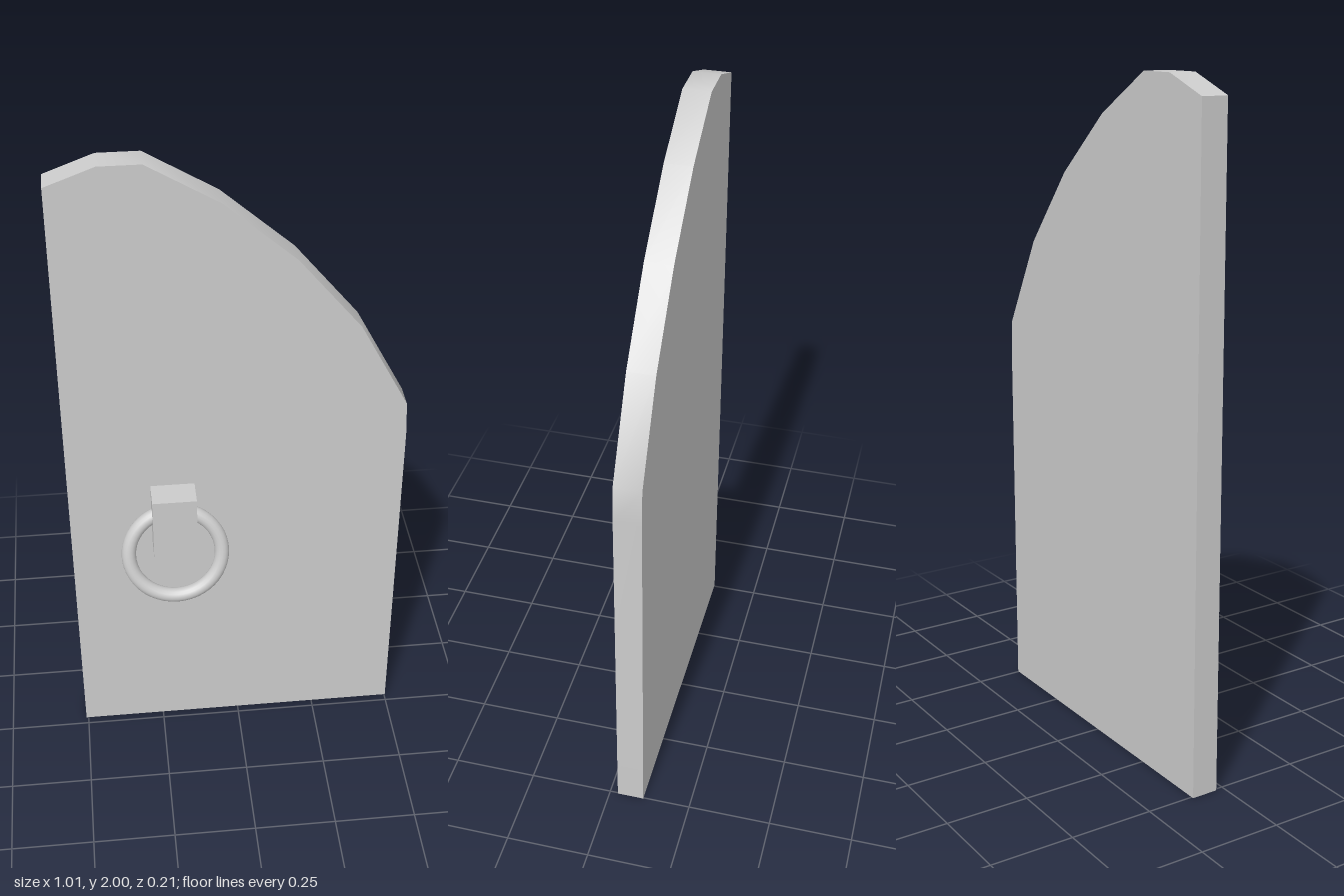
import * as THREE from 'three';
import { toCreasedNormals } from 'three/addons/utils/BufferGeometryUtils.js';

export function createModel() {
  const model = new THREE.Group();
  const material = new THREE.MeshStandardMaterial({ color: 0xcccccc });

  const addPart = (name, geometry, x, y, z) => {
    const mesh = new THREE.Mesh(geometry, material);
    mesh.name = name;
    mesh.position.set(x, y, z);
    model.add(mesh);
    return mesh;
  };

  // Door leaf: one half of an arched double door, with a faceted outline
  const outline = [
    [-0.507, 0], [0.503, 0], [0.503, 1.09], [0.498, 1.2], [0.352, 1.473], [0.167, 1.697],
    [-0.04, 1.878], [-0.245, 2], [-0.365, 2], [-0.507, 1.947],
  ].map(([x, y]) => new THREE.Vector2(x, y));
  const leaf = new THREE.ExtrudeGeometry(new THREE.Shape(outline), { depth: 0.081, bevelEnabled: false });
  addPart('doorLeaf', toCreasedNormals(leaf, 0.6), 0, 0, -0.106);

  // Mounting block that holds the ring
  addPart('handleBlock', new THREE.BoxGeometry(0.132, 0.212, 0.087), -0.195, 0.852, 0.0185);

  // Pull ring, hanging with its lower edge tilted out from the door
  const ring = addPart('pullRing', new THREE.TorusGeometry(0.141, 0.022, 16, 48), -0.196, 0.752, 0.045);
  ring.rotation.x = -0.26;

  return model;
}
